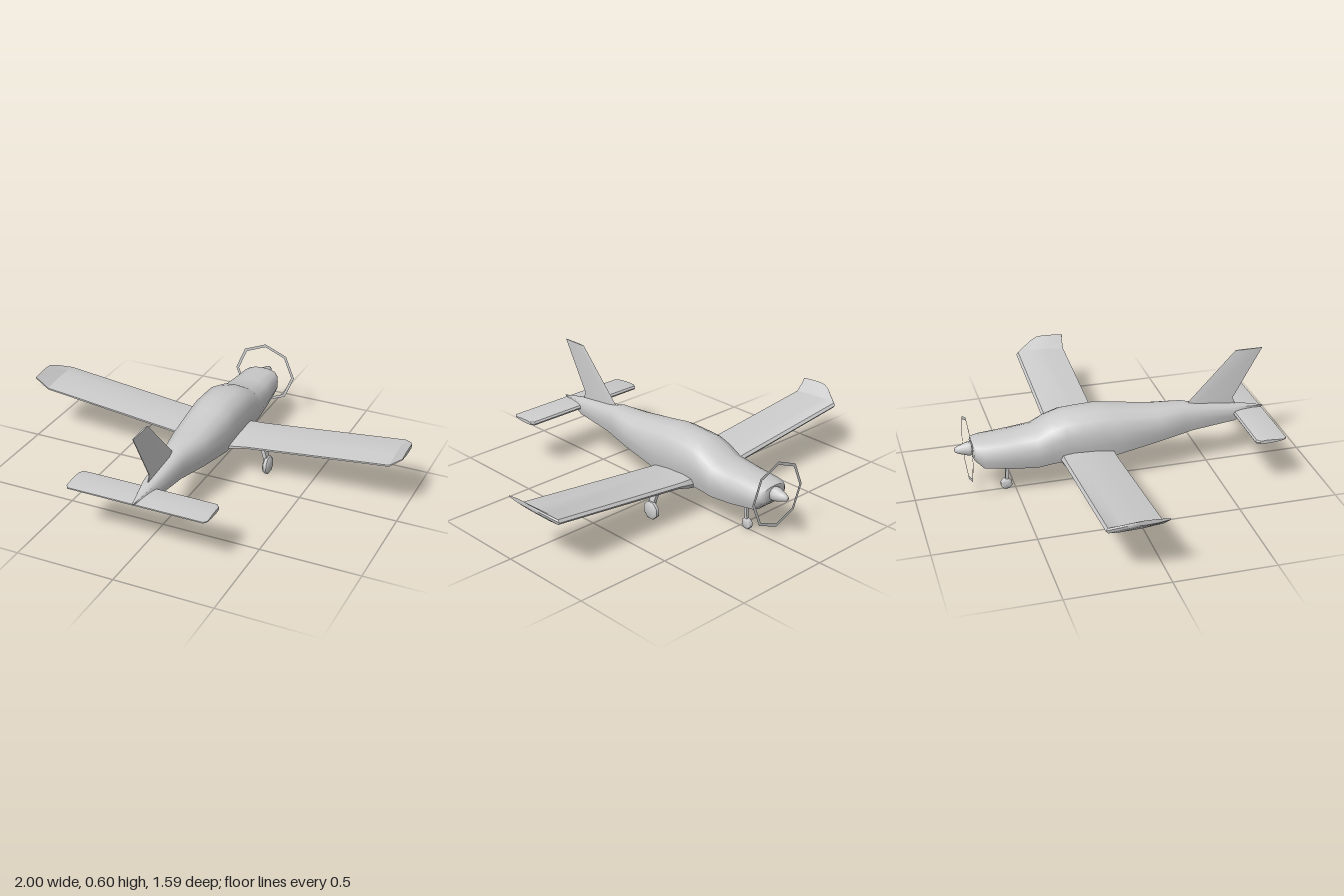
import * as THREE from 'three';
import { toCreasedNormals } from 'three/addons/utils/BufferGeometryUtils.js';

const material = new THREE.MeshStandardMaterial({ color: 0xcccccc });
const thin = new THREE.MeshStandardMaterial({ color: 0xcccccc, side: THREE.DoubleSide });

// Skin a closed solid over equal-length loops of [x, y, z] points
function loft(loops) {
  const n = loops[0].length, pos = loops.flat(2), idx = [];
  for (let s = 0; s < loops.length - 1; s++) {
    for (let i = 0; i < n; i++) {
      const a = s * n + i, b = s * n + (i + 1) % n;
      idx.push(a, b, a + n, b, b + n, a + n);
    }
  }
  const last = (loops.length - 1) * n;
  for (let i = 1; i < n - 1; i++) {
    idx.push(0, i + 1, i, last, last + i, last + i + 1);
  }
  // Turn the faces outward if the enclosed volume is negative
  const p = i => new THREE.Vector3().fromArray(pos, i * 3);
  let volume = 0;
  for (let i = 0; i < idx.length; i += 3) volume += p(idx[i]).dot(p(idx[i + 1]).cross(p(idx[i + 2])));
  if (volume < 0) idx.reverse();
  const g = new THREE.BufferGeometry();
  g.setAttribute('position', new THREE.Float32BufferAttribute(pos, 3));
  g.setIndex(idx);
  g.computeVertexNormals();
  return g;
}

// Aerofoil loop at one span station: [x, mid height, front z, back z, thickness]
const foil = [[0, 0], [0.04, 0.38], [0.25, 0.5], [0.65, 0.4], [1, 0.12], [1, -0.12], [0.65, -0.4], [0.25, -0.5], [0.04, -0.38]];
const foilLoop = ([x, y, z0, z1, t]) => foil.map(([u, v]) => [x, y + v * t, z0 + (z1 - z0) * u]);

// Both halves of a wing from the stations of one half, listed root to tip
function wingGeometry(stations) {
  const other = stations.slice(1).reverse().map(([x, ...rest]) => [-x, ...rest]);
  return toCreasedNormals(loft([...other, ...stations].map(foilLoop)), 0.5);
}

export function createModel() {
  const model = new THREE.Group();
  const add = (name, geometry, mat = material) => {
    const mesh = new THREE.Mesh(geometry, mat);
    mesh.name = name;
    model.add(mesh);
    return mesh;
  };

  // Fuselage stations: [z, top, bottom, half width]
  const half = [[0, 1], [0.45, 0.97], [0.82, 0.87], [1, 0.62], [1, 0.35], [0.86, 0.06], [0.5, 0]];
  const section = [...half, [0, 0], ...half.slice(1).reverse().map(([u, v]) => [-u, v])];
  const body = [
    [-0.71, 0.29, 0.215, 0.07], [-0.70, 0.295, 0.205, 0.085], [-0.665, 0.3, 0.17, 0.102],
    [-0.52, 0.312, 0.148, 0.112], [-0.40, 0.325, 0.14, 0.12], [-0.33, 0.365, 0.147, 0.121],
    [-0.26, 0.39, 0.15, 0.122], [-0.18, 0.396, 0.142, 0.122], [-0.08, 0.4, 0.145, 0.121],
    [0, 0.387, 0.147, 0.118], [0.22, 0.357, 0.185, 0.1], [0.36, 0.355, 0.2, 0.069],
    [0.40, 0.345, 0.206, 0.06], [0.63, 0.315, 0.225, 0.04], [0.795, 0.281, 0.278, 0.003],
  ];
  add('fuselage', toCreasedNormals(loft(body.map(([z, top, bottom, w]) =>
    section.map(([u, v]) => [u * w, bottom + (top - bottom) * v, z]))), 0.9));

  // Main wing with upswept tips
  add('wing', wingGeometry([
    [0, 0.178, -0.29, -0.02, 0.065], [0.11, 0.18, -0.29, -0.02, 0.065],
    [0.2, 0.196, -0.29, -0.025, 0.038], [0.935, 0.277, -0.29, -0.025, 0.034],
    [0.985, 0.318, -0.205, -0.02, 0.03], [1, 0.332, -0.165, -0.015, 0.024],
  ]));

  // Tailplane
  add('tailplane', wingGeometry([
    [0, 0.271, 0.625, 0.785, 0.028], [0.345, 0.271, 0.625, 0.785, 0.026],
    [0.36, 0.271, 0.645, 0.765, 0.018],
  ]));

  // Swept tail fin, a thin diamond section from root to tip
  const finLoop = (y, front, back, t) => [[0, y, front], [t, y, front + (back - front) * 0.2], [0.002, y, back],
    [-0.002, y, back], [-t, y, front + (back - front) * 0.2]];
  add('tailFin', toCreasedNormals(loft([
    finLoop(0.29, 0.34, 0.65, 0.008), finLoop(0.345, 0.39, 0.63, 0.007), finLoop(0.605, 0.635, 0.775, 0.004),
  ]), 0.5));

  // Spinner and propeller ring
  const spinnerProfile = [[0, -0.02], [0.036, -0.02], [0.034, 0.025], [0.02, 0.07], [0.012, 0.086], [0, 0.09]];
  const spinner = add('spinner', new THREE.LatheGeometry(spinnerProfile.map(p => new THREE.Vector2(...p)), 10));
  spinner.rotation.x = -Math.PI / 2;
  spinner.position.set(0, 0.25, -0.705);
  const ring = add('propellerRing', new THREE.RingGeometry(0.153, 0.169, 8), thin);
  ring.position.set(0, 0.25, -0.73);

  // Octagonal wheel with chamfered rims
  const wheel = (name, x, y, z, r, w) => {
    const profile = [[0, -w], [r * 0.75, -w], [r, -w * 0.5], [r, w * 0.5], [r * 0.75, w], [0, w]];
    const g = new THREE.LatheGeometry(profile.map(p => new THREE.Vector2(...p)), 8);
    g.rotateY(Math.PI / 8).rotateZ(Math.PI / 2);
    add(name, toCreasedNormals(g, 0.9)).position.set(x, y, z);
  };
  // Leg as a tapered bar: each end is [x, y, z, half width, half depth]
  const leg = (name, ...ends) => add(name, toCreasedNormals(loft(ends.map(([x, y, z, a, b]) =>
    [[x - a, y, z - b], [x + a, y, z - b], [x + a, y, z + b], [x - a, y, z + b]])), 0.5));

  // Landing gear
  for (const [side, s] of [['left', 1], ['right', -1]]) {
    wheel(side + 'MainWheel', s * 0.263, 0.046, -0.157, 0.048, 0.016);
    leg(side + 'MainLeg', [s * 0.215, 0.195, -0.168, 0.011, 0.018], [s * 0.25, 0.1, -0.157, 0.01, 0.017],
      [s * 0.26, 0.05, -0.155, 0.008, 0.014]);
  }
  wheel('noseWheel', 0, 0.028, -0.545, 0.03, 0.014);
  leg('noseLeg', [0, 0.16, -0.535, 0.01, 0.009], [0, 0.03, -0.545, 0.008, 0.007]);

  return model;
}
